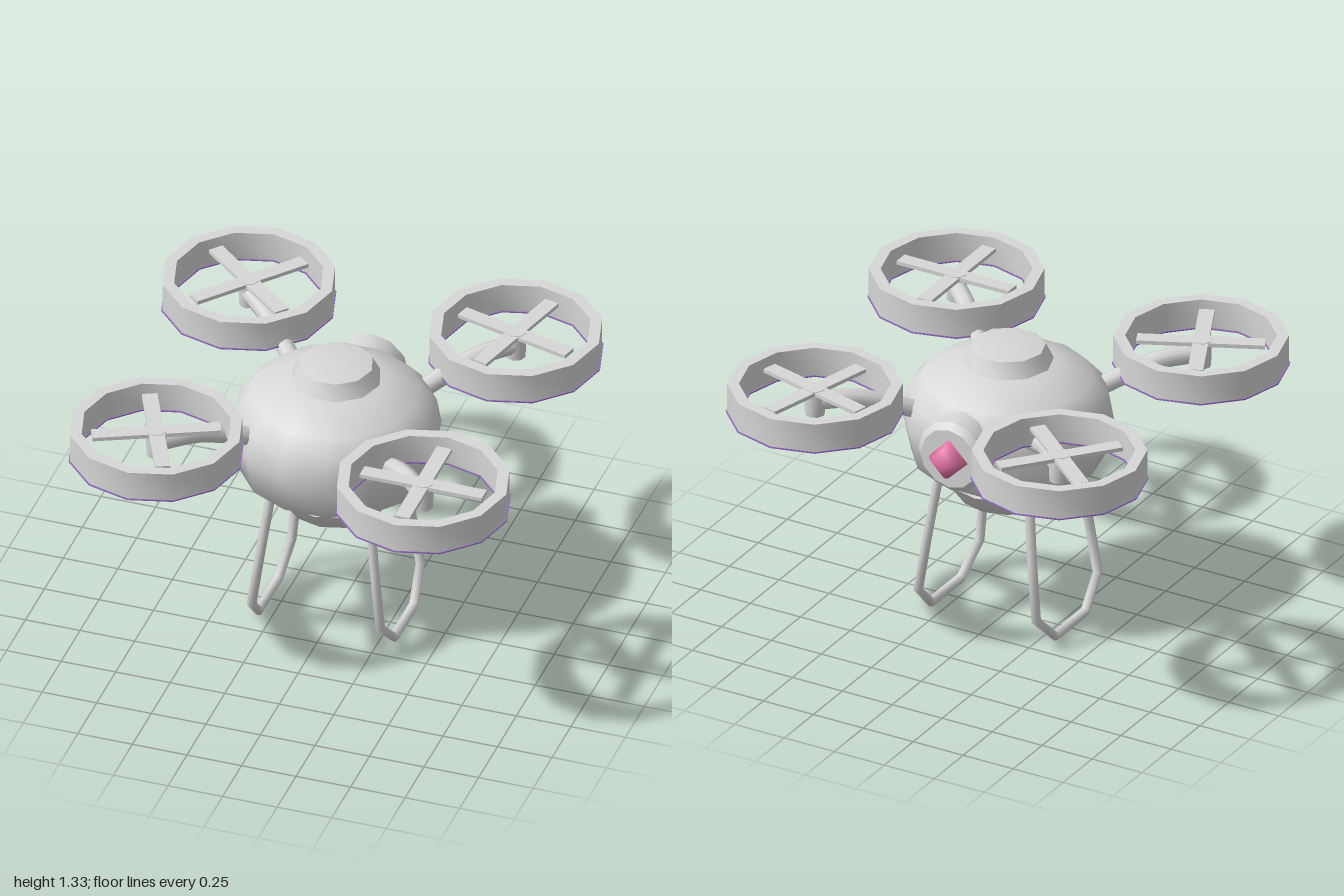
import * as THREE from 'three';
import { toCreasedNormals } from 'three/addons/utils/BufferGeometryUtils.js';

// Path of straight runs with one tube section per corner
class Polyline extends THREE.Curve {
  constructor(points) { super(); this.points = points; }
  getUtoTmapping(u) { return u; }
  getPoint(t, target = new THREE.Vector3()) {
    const s = Math.min(Math.max(t, 0), 1) * (this.points.length - 1);
    const i = Math.min(Math.floor(s), this.points.length - 2);
    return target.lerpVectors(this.points[i], this.points[i + 1], s - i);
  }
}

// Turned part: profile runs bottom to top as [radius, height], a corner lies on x
function lathe(profile, sides, crease = 0.6) {
  const g = new THREE.LatheGeometry(profile.map(([r, y]) => new THREE.Vector2(r, y)), sides);
  g.rotateY(Math.PI / 2);
  return toCreasedNormals(g, crease);
}

export function createModel() {
  const shell = new THREE.MeshStandardMaterial({ color: 0xd7d7d7 });
  shell.name = 'shell grey';
  const glow = new THREE.MeshStandardMaterial({ color: 0x946ebe });
  glow.name = 'underside purple';
  const lens = new THREE.MeshStandardMaterial({ color: 0xf57cb1 });
  lens.name = 'lens pink';

  const model = new THREE.Group();
  model.name = 'drone';
  const add = (name, geometry, material, parent = model) => {
    const mesh = new THREE.Mesh(geometry, material);
    mesh.name = name;
    parent.add(mesh);
    return mesh;
  };

  // Rounded body with a cap on top and a skirt below
  add('body', lathe([[0, 0.68], [0.27, 0.685], [0.42, 0.78], [0.46, 0.965], [0.44, 1.08],
    [0.37, 1.16], [0.23, 1.22], [0, 1.24]], 14, 1.2), shell);
  add('topCap', lathe([[0.2, 1.235], [0.165, 1.305], [0, 1.335]], 10, 0.7), shell);
  add('skirt', lathe([[0.18, 0.582], [0.215, 0.585], [0.288, 0.685], [0, 0.69]], 12, 1.2), shell);
  add('skirtUnderside', lathe([[0, 0.566], [0.185, 0.581]], 12), glow);

  // Rear pod with a four-sided dome lens
  const pod = new THREE.Group();
  pod.name = 'rearPod';
  pod.position.set(0, 0.98, -0.38);
  pod.rotation.x = -Math.PI / 2;
  model.add(pod);
  add('podHousing', lathe([[0.168, -0.03], [0.168, 0.1], [0.14, 0.128], [0, 0.128]], 12), shell, pod);
  add('podLens', new THREE.SphereGeometry(0.095, 4, 12), lens, pod).position.y = 0.112;

  // Four ducted rotors on bent arms
  const spins = [[1, 1, 0], [1, -1, -15], [-1, 1, 25], [-1, -1, -40]];
  for (const [sx, sz, spin] of spins) {
    const unit = new THREE.Group();
    unit.name = 'rotorUnit';
    model.add(unit);

    const arm = new THREE.CatmullRomCurve3([[0.26, 1.03], [0.36, 1.085], [0.48, 1.14], [0.6, 1.15]]
      .map(([d, y]) => new THREE.Vector3(sx * d, y, sz * d)));
    add('arm', new THREE.TubeGeometry(arm, 8, 0.043, 8), shell, unit);

    const rotor = new THREE.Group();
    rotor.name = 'rotor';
    rotor.position.set(sx * 0.612, 0, sz * 0.612);
    unit.add(rotor);
    add('duct', lathe([[0.381, 1.1], [0.381, 1.235], [0.329, 1.235], [0.329, 1.1]], 12, 0.9), shell, rotor);
    // Purple rim plate, a touch wider than the duct wall
    add('ductUnderside', lathe([[0.324, 1.095], [0.386, 1.095], [0.386, 1.101], [0.324, 1.101],
      [0.324, 1.095]], 12, 0.9), glow, rotor);

    const motor = new THREE.CylinderGeometry(0.048, 0.045, 0.128, 8);
    add('motor', toCreasedNormals(motor, 0.9), shell, rotor).position.y = 1.153;
    const propeller = new THREE.Group();
    propeller.name = 'propeller';
    propeller.position.y = 1.205;
    propeller.rotation.y = THREE.MathUtils.degToRad(spin);
    rotor.add(propeller);
    for (let k = 0; k < 2; k++) {
      add('bladePair', new THREE.BoxGeometry(0.56, 0.018, 0.068), shell, propeller).rotation.y = k * Math.PI / 2;
    }
  }

  // Landing loops, splayed outward towards the ground
  const half = [[-0.205, 0.715], [-0.243, 0.42], [-0.265, 0.15], [-0.13, 0.022]];
  const outline = [...half, ...half.slice().reverse().map(([z, y]) => [-z, y])];
  for (const side of [1, -1]) {
    const path = new Polyline(outline.map(([z, y]) =>
      new THREE.Vector3(side * (0.225 + (0.71 - y) * 0.125), y, z)));
    add('landingLoop', new THREE.TubeGeometry(path, outline.length - 1, 0.022, 8), shell);
  }
  return model;
}
